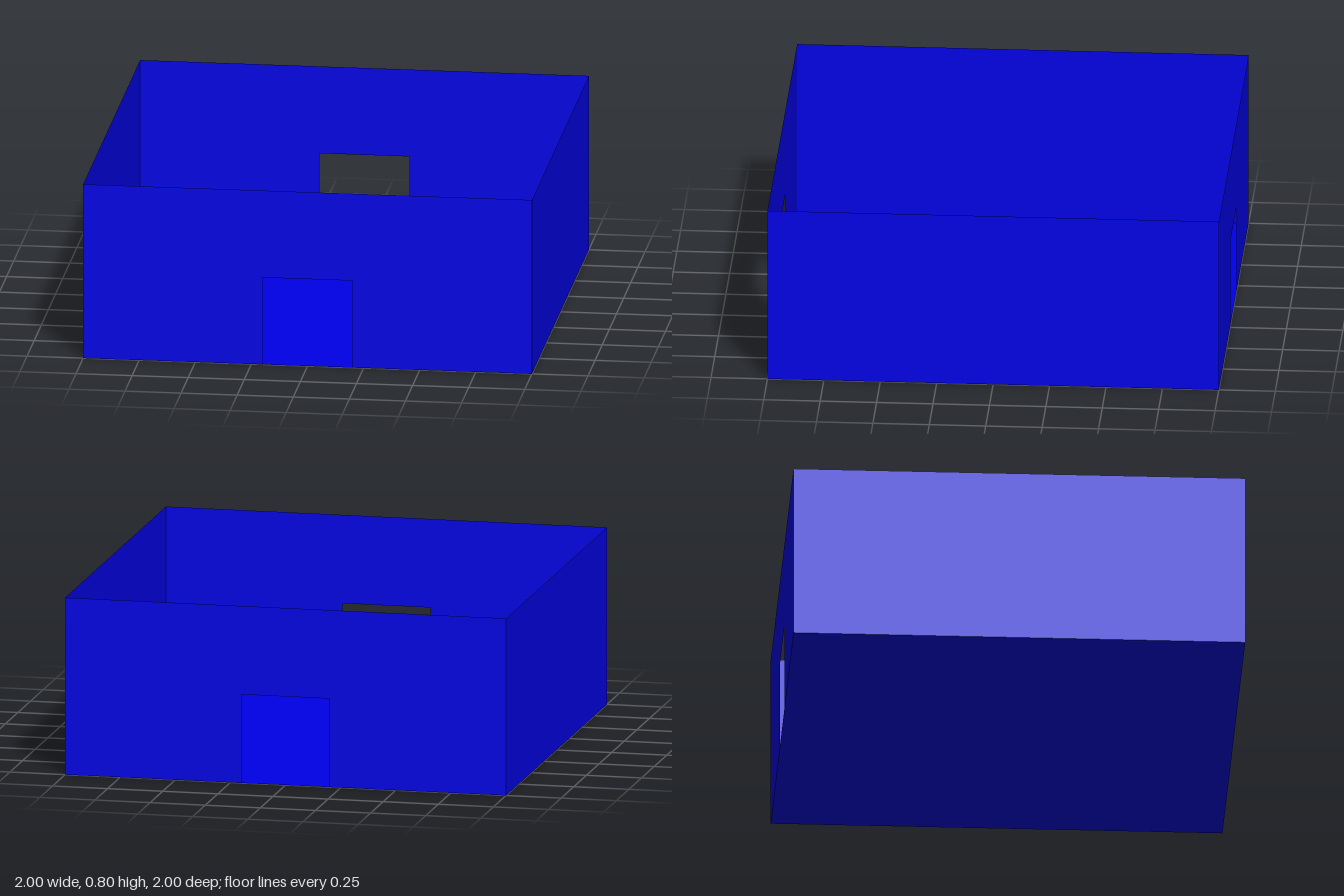
import * as THREE from 'three';

const SIZE = 2, HEIGHT = 0.8, DOOR = 0.4;

// Wall outline with a doorway cut up from its lower edge
function doorWallGeometry() {
  const h = SIZE / 2, d = DOOR / 2;
  const shape = new THREE.Shape([
    [-h, 0], [-d, 0], [-d, DOOR], [d, DOOR], [d, 0], [h, 0], [h, HEIGHT], [-h, HEIGHT],
  ].map(([x, y]) => new THREE.Vector2(x, y)));
  return new THREE.ShapeGeometry(shape);
}

export function createModel() {
  const model = new THREE.Group();
  model.name = 'openRoom';
  const blue = new THREE.MeshStandardMaterial({ color: 0x0000ff, side: THREE.DoubleSide });
  blue.name = 'blue';

  const add = (name, geometry) => {
    const mesh = new THREE.Mesh(geometry, blue);
    mesh.name = name;
    model.add(mesh);
    return mesh;
  };

  // Floor
  add('floor', new THREE.PlaneGeometry(SIZE, SIZE).rotateX(-Math.PI / 2));

  // Front and back walls, each with a doorway
  add('frontWall', doorWallGeometry()).position.z = SIZE / 2;
  const back = add('backWall', doorWallGeometry());
  back.rotation.y = Math.PI;
  back.position.z = -SIZE / 2;

  // Plain side walls
  for (const [name, side] of [['leftWall', 1], ['rightWall', -1]]) {
    const wall = add(name, new THREE.PlaneGeometry(SIZE, HEIGHT));
    wall.rotation.y = side * Math.PI / 2;
    wall.position.set(side * SIZE / 2, HEIGHT / 2, 0);
  }

  return model;
}
